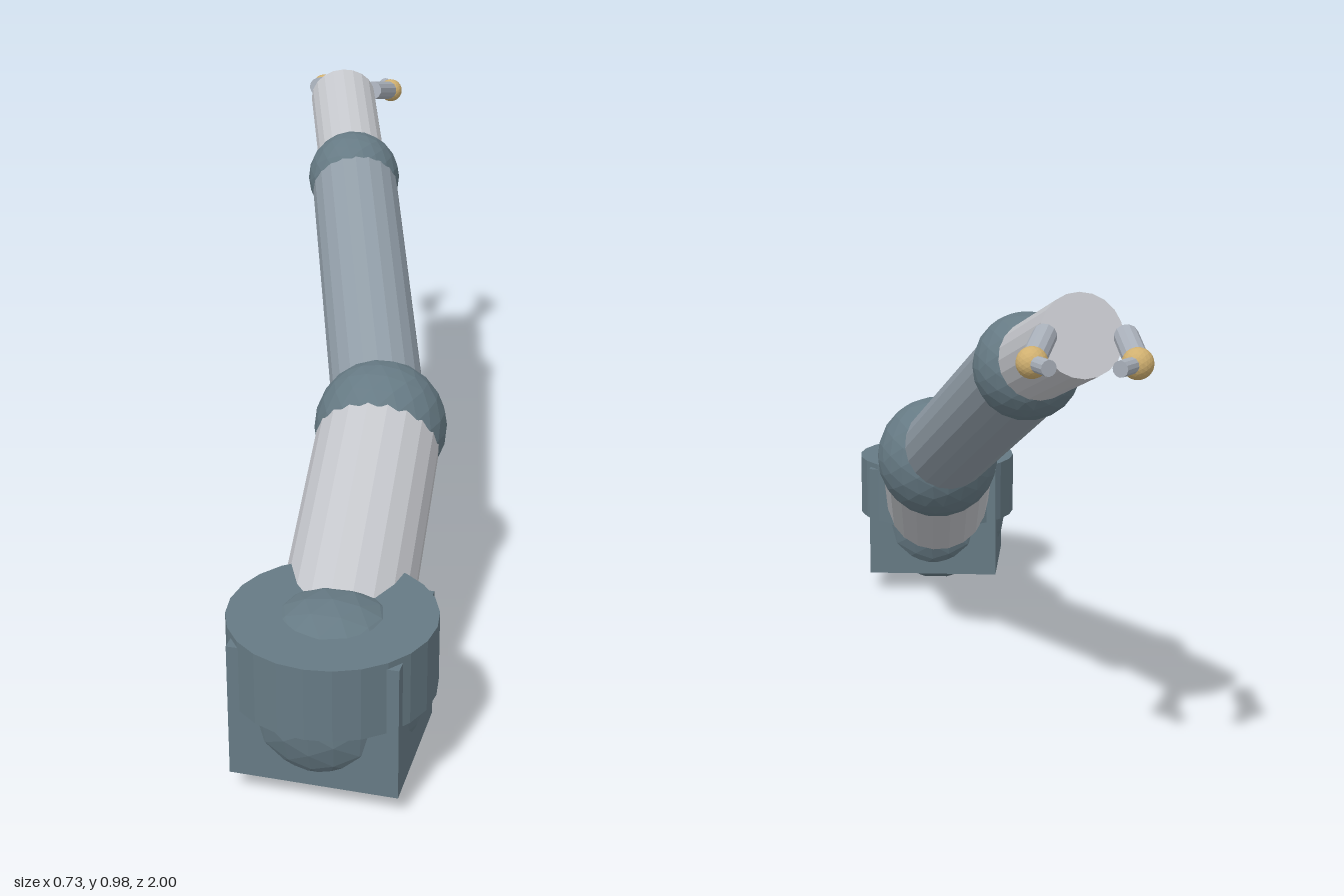
import * as THREE from 'three';

const flat = (name, color) => {
  const m = new THREE.MeshStandardMaterial({ color });
  m.name = name;
  m.flatShading = true;
  return m;
};

export function createModel() {
  const model = new THREE.Group();
  model.name = 'roboticArm';

  const slate = flat('slate', 0x667a84);
  const steel = flat('steel', 0x909ca6);
  const lightGrey = flat('lightGrey', 0xc4c6cb);
  const fingerGrey = flat('fingerGrey', 0xa9b0ba);
  const brass = flat('brass', 0xd0b070);

  const add = (name, geometry, material, position, parent = model) => {
    const mesh = new THREE.Mesh(geometry, material);
    mesh.name = name;
    mesh.position.copy(position);
    parent.add(mesh);
    return mesh;
  };
  const ball = (name, r, material, p, parent) =>
    add(name, new THREE.IcosahedronGeometry(r, 3), material, p, parent);
  // Straight cylinder between two points
  const rod = (name, a, b, r, sides, material, parent) => {
    const dir = b.clone().sub(a);
    const mesh = add(name, new THREE.CylinderGeometry(r, r, dir.length(), sides), material,
      a.clone().lerp(b, 0.5), parent);
    mesh.quaternion.setFromUnitVectors(new THREE.Vector3(0, 1, 0), dir.normalize());
    return mesh;
  };
  const v = (x, y, z) => new THREE.Vector3(x, y, z);

  // Joint centres from the shoulder to the wrist
  const shoulder = v(0.157, 0.187, 0.795);
  const elbow = v(0.106, 0.462, 0.213);
  const forearmEnd = v(-0.13, 0.797, -0.455);
  const wrist = v(-0.241, 0.907, -0.766);

  // Base: square housing, round collar and shoulder ball
  add('baseHousing', new THREE.BoxGeometry(0.334, 0.283, 0.295), slate, v(0.157, 0.188, 0.795));
  add('baseCollar', new THREE.CylinderGeometry(0.206, 0.206, 0.153, 24), slate, v(0.157, 0.266, 0.795));
  ball('shoulderBall', 0.185, slate, shoulder);

  // Arm segments and joints
  rod('upperArm', shoulder, elbow, 0.134, 20, lightGrey);
  ball('elbowBall', 0.144, slate, elbow);
  rod('forearm', elbow, forearmEnd, 0.102, 20, steel);
  ball('wristBall', 0.11, slate, forearmEnd);
  rod('hand', forearmEnd, wrist, 0.081, 20, lightGrey);

  // Two mirrored gripper fingers floating ahead of the hand
  for (const side of [-1, 1]) {
    const finger = new THREE.Group();
    finger.name = side > 0 ? 'leftFinger' : 'rightFinger';
    model.add(finger);
    const at = (dx, y, z) => v(-0.247 + side * dx, y, z);
    const knuckle = at(0.092, 0.884, -0.932);
    rod('fingerBase', at(0.073, 0.914, -0.813), knuckle, 0.023, 12, fingerGrey, finger);
    ball('knuckle', 0.029, brass, knuckle, finger);
    rod('fingerTip', knuckle, at(0.061, 0.884, -0.992), 0.015, 12, fingerGrey, finger);
  }
  return model;
}
